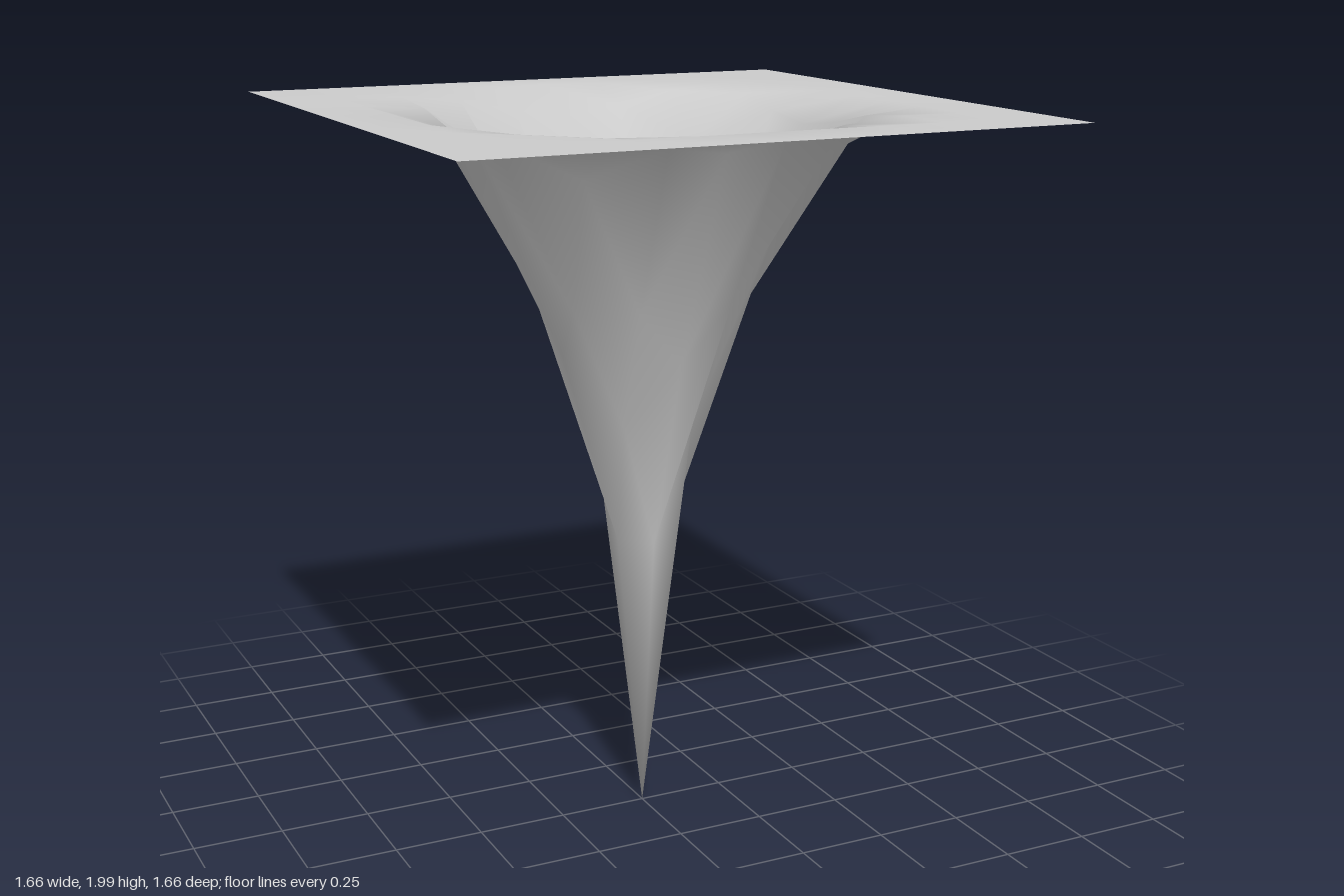
import * as THREE from 'three';

// [radius on the flat sheet, height after pulling, inward pinch factor]
const PULL = [
  [0, 0.01, 0.4], [0.166, 0.81, 0.45], [0.235, 1.16, 0.62], [0.332, 1.35, 0.71],
  [0.371, 1.5, 0.79], [0.469, 1.86, 0.93], [0.498, 1.93, 0.964],
  [0.525, 1.95, 0.97], [0.598, 1.985, 0.98], [0.664, 2, 0.987], [0.83, 2, 1],
];

function pullAt(r) {
  for (let i = 1; i < PULL.length; i++) {
    const a = PULL[i - 1], b = PULL[i];
    if (r <= b[0]) {
      const t = (r - a[0]) / (b[0] - a[0]);
      return [THREE.MathUtils.lerp(a[1], b[1], t), THREE.MathUtils.lerp(a[2], b[2], t)];
    }
  }
  return [2, 1];
}

export function createModel() {
  const group = new THREE.Group();
  group.name = 'funnelSheet';

  // Square 10 x 10 sheet; the quarter turn sets the direction of the diagonals
  const geometry = new THREE.PlaneGeometry(1.66, 1.66, 10, 10);
  geometry.rotateX(-Math.PI / 2).rotateY(Math.PI / 2);

  // Pull the middle down to a point and pinch it inward
  const pos = geometry.attributes.position;
  for (let i = 0; i < pos.count; i++) {
    const x = pos.getX(i), z = pos.getZ(i);
    const [y, pinch] = pullAt(Math.hypot(x, z));
    pos.setXYZ(i, x * pinch, y, z * pinch);
  }
  geometry.computeVertexNormals();

  const sheet = new THREE.Mesh(geometry,
    new THREE.MeshStandardMaterial({ color: 0xcccccc, side: THREE.DoubleSide }));
  sheet.name = 'funnel';
  group.add(sheet);
  return group;
}
